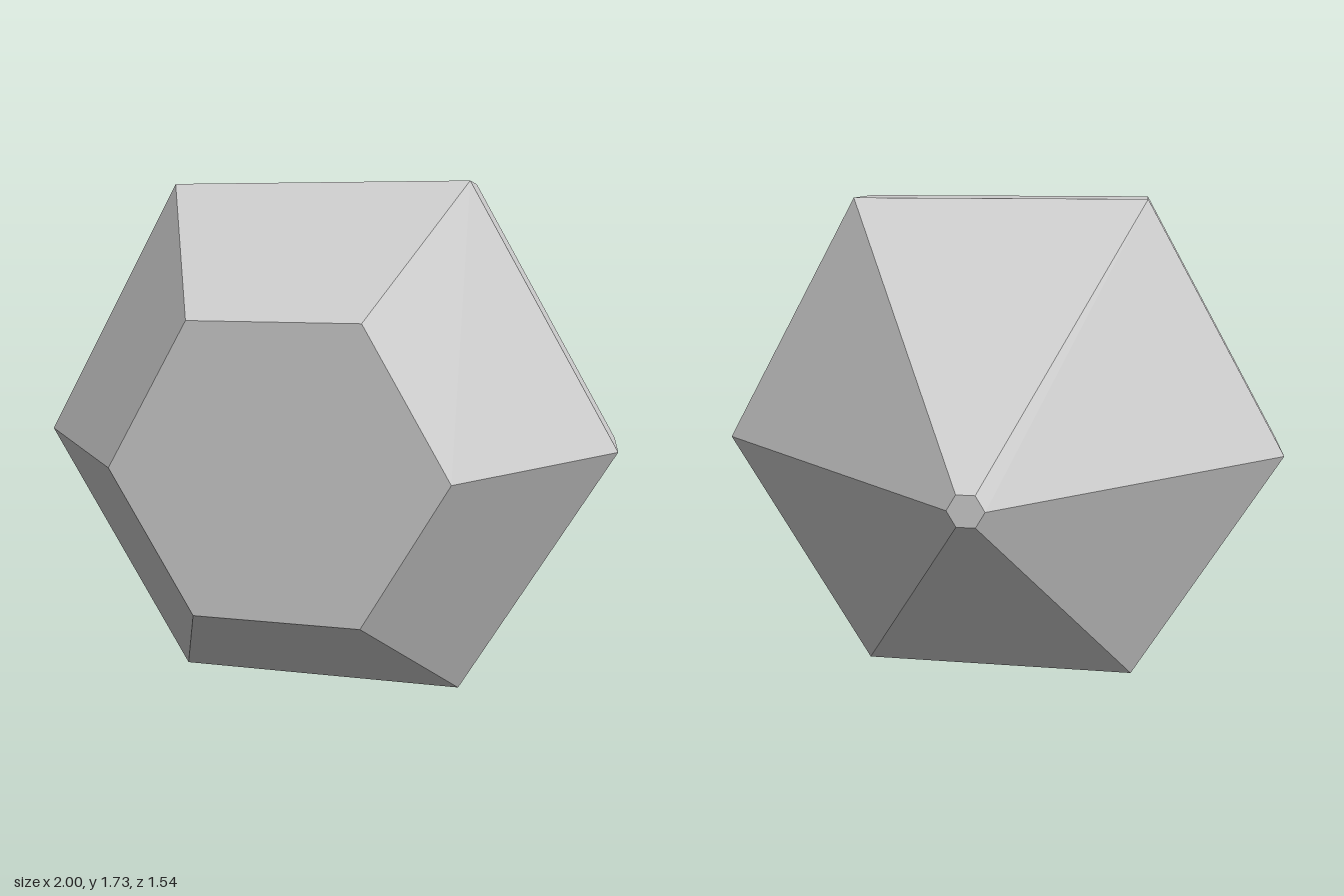
import * as THREE from 'three';

// Six-sided cut gem, its axis along z, with the broad flat face to the front
export function createModel() {
  const gem = new THREE.Group();
  gem.name = 'gem';
  const stone = new THREE.MeshStandardMaterial({ color: 0xcccccc, flatShading: true });
  stone.name = 'grey stone';

  // Radius and depth of each ring, back to front
  const rings = [[0, -0.77], [0.058, -0.77], [1, -0.055], [1, 0.195], [0.52, 0.77], [0, 0.77]]
    .map(([r, z]) => new THREE.Vector2(r, z));
  const names = ['backTip', 'backFacets', 'girdle', 'frontFacets', 'frontFace'];

  // One band of six facets between each pair of rings
  names.forEach((name, i) => {
    const band = new THREE.LatheGeometry([rings[i], rings[i + 1]], 6, Math.PI / 2);
    band.rotateX(Math.PI / 2);
    const mesh = new THREE.Mesh(band, stone);
    mesh.name = name;
    mesh.position.y = Math.sqrt(3) / 2;
    gem.add(mesh);
  });
  return gem;
}
